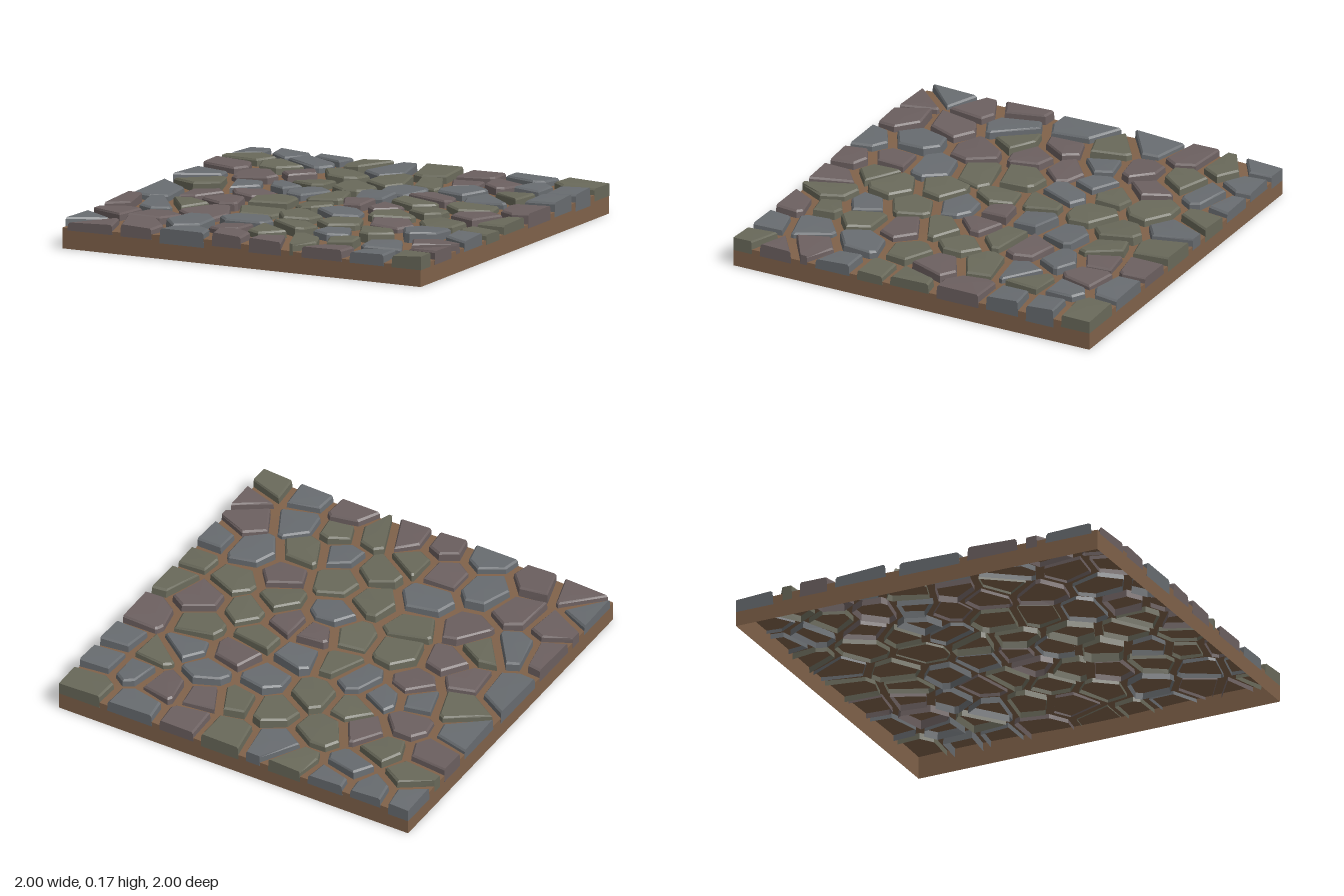
import * as THREE from 'three';

const GAP = 0.021;
const STONES = 88;

let seed = 7;
const random = () => (seed = (seed * 16807) % 2147483647) / 2147483647;
const spread = a => (random() * 2 - 1) * a;

// Centres (x, z) of the large stones of each kind of rock
const blue = [
  [-.95, -.9], [-.75, -.93], [-.17, -.85], [.6, -.94], [.9, -.7], [-.93, -.35], [.15, -.43],
  [.43, -.53], [-.25, -.2], [-.92, .08], [.72, .42], [-.78, .41], [-.2, .52]];
const mauve = [
  [.34, -.71], [.55, -.74], [-.88, -.55], [-.64, -.4], [.38, -.33], [.28, 0], [.76, -.02],
  [-.56, .16], [.5, .32], [-.5, .42], [-.18, .75], [.87, .63], [.11, .9], [-.62, .9]];
const green = [
  [-.3, -.92], [-.64, -.64], [-.3, -.65], [0, -.6], [.88, -.92], [-.11, -.41], [.72, -.54],
  [.5, 0], [-.25, .3], [-.05, .07], [.23, .42], [0, .37], [.43, .77]];

// Lay the large stones, then fit small ones into the widest spaces left between them
function layStones() {
  const kinds = [
    { name: 'blueStones', color: 0x686c70, at: [...blue] },
    { name: 'mauveStones', color: 0x6c6060, at: [...mauve] },
    { name: 'greenStones', color: 0x69695a, at: [...green] }];
  const centres = kinds.flatMap(k => k.at);
  const room = p => Math.min(...centres.map(c => Math.hypot(c[0] - p[0], c[1] - p[1])));
  while (centres.length < STONES) {
    let best = [spread(0.97), spread(0.97)];
    for (let i = 0; i < 40; i++) {
      const p = [spread(0.97), spread(0.97)];
      if (room(p) > room(best)) best = p;
    }
    kinds[Math.floor(random() * 3)].at.push(best);
    centres.push(best);
  }
  return { kinds, centres };
}

// Gently rolling height of the earth
const earthHeight = (x, z) => 0.112 + 0.007 * Math.sin(4 * x + 2 * z) + 0.006 * Math.cos(5 * z - 3 * x);

// Keep the part of a polygon where nx * x + nz * z <= d
function clip(poly, nx, nz, d) {
  const out = [];
  poly.forEach((p, i) => {
    const q = poly[(i + 1) % poly.length];
    const a = nx * p[0] + nz * p[1] - d, b = nx * q[0] + nz * q[1] - d;
    if (a <= 0) out.push(p);
    if (a * b < 0) {
      const t = a / (a - b);
      out.push([p[0] + (q[0] - p[0]) * t, p[1] + (q[1] - p[1]) * t]);
    }
  });
  return out;
}

// Outline of one stone: everything nearer to its centre than to others, less the joint
function outline(c, centres) {
  let poly = [[-1, -1], [-1, 1], [1, 1], [1, -1]];
  for (const o of centres) {
    if (o === c) continue;
    const dx = o[0] - c[0], dz = o[1] - c[1], len = Math.hypot(dx, dz);
    const nx = dx / len, nz = dz / len;
    poly = clip(poly, nx, nz, nx * c[0] + nz * c[1] + len / 2 - GAP);
  }
  // Drop corners that nearly coincide
  return poly.filter((p, i) => {
    const q = poly[(i + 1) % poly.length];
    return Math.hypot(p[0] - q[0], p[1] - q[1]) > 0.012;
  });
}

// Stone as stacked rings with a tilted, chamfered top; it stays flush with the tile's edge
function stoneGeometry(poly) {
  const n = poly.length;
  const mx = poly.reduce((s, p) => s + p[0], 0) / n, mz = poly.reduce((s, p) => s + p[1], 0) / n;
  const slopeX = spread(0.07), slopeZ = spread(0.07);
  const lift = 0.038 + spread(0.008), foot = 0.085 + spread(0.012);
  const top = (x, z) => Math.min(0.174,
    Math.max(earthHeight(x, z) + 0.016, earthHeight(mx, mz) + lift + slopeX * (x - mx) + slopeZ * (z - mz)));
  const ring = (inset, height) => poly.map(([px, pz]) => {
    const k = Math.max(0.6, 1 - inset / Math.hypot(px - mx, pz - mz));
    const x = Math.abs(px) > 0.999 ? px : mx + (px - mx) * k;
    const z = Math.abs(pz) > 0.999 ? pz : mz + (pz - mz) * k;
    return [x, height(x, z), z];
  });
  const rings = [ring(0, () => foot), ring(0.005, (x, z) => top(x, z) - 0.009), ring(0.016, top)];
  const peak = [mx, top(mx, mz) + 0.001, mz];
  const pos = [];
  for (let i = 0; i < n; i++) {
    const j = (i + 1) % n;
    for (let r = 0; r < 2; r++) {
      const [a, b, d, e] = [rings[r][i], rings[r][j], rings[r + 1][j], rings[r + 1][i]];
      pos.push(...a, ...b, ...d, ...a, ...d, ...e);
    }
    pos.push(...rings[2][i], ...rings[2][j], ...peak);
  }
  const g = new THREE.BufferGeometry();
  g.setAttribute('position', new THREE.Float32BufferAttribute(pos, 3));
  g.computeVertexNormals();
  return g;
}

// Earth block: rolling top and four walls, open underneath
function earthGeometry() {
  const g = new THREE.BoxGeometry(1.998, 1, 1.998, 24, 1, 24);
  const p = g.attributes.position;
  for (let i = 0; i < p.count; i++)
    p.setY(i, p.getY(i) > 0 ? earthHeight(p.getX(i), p.getZ(i)) : 0);
  const bottom = g.groups[3];
  g.setIndex([...g.index.array].filter((_, i) => i < bottom.start || i >= bottom.start + bottom.count));
  g.clearGroups();
  g.computeVertexNormals();
  return g;
}

export function createModel() {
  const model = new THREE.Group();
  model.name = 'stonePaving';

  const earth = new THREE.Mesh(earthGeometry(),
    new THREE.MeshStandardMaterial({ color: 0x80624a, side: THREE.DoubleSide }));
  earth.name = 'earth';
  model.add(earth);

  const { kinds, centres } = layStones();
  for (const { name, color, at } of kinds) {
    const group = new THREE.Group();
    group.name = name;
    const material = new THREE.MeshStandardMaterial({ color, flatShading: true, side: THREE.DoubleSide });
    for (const c of at) {
      const stone = new THREE.Mesh(stoneGeometry(outline(c, centres)), material);
      stone.name = 'stone';
      group.add(stone);
    }
    model.add(group);
  }
  return model;
}
